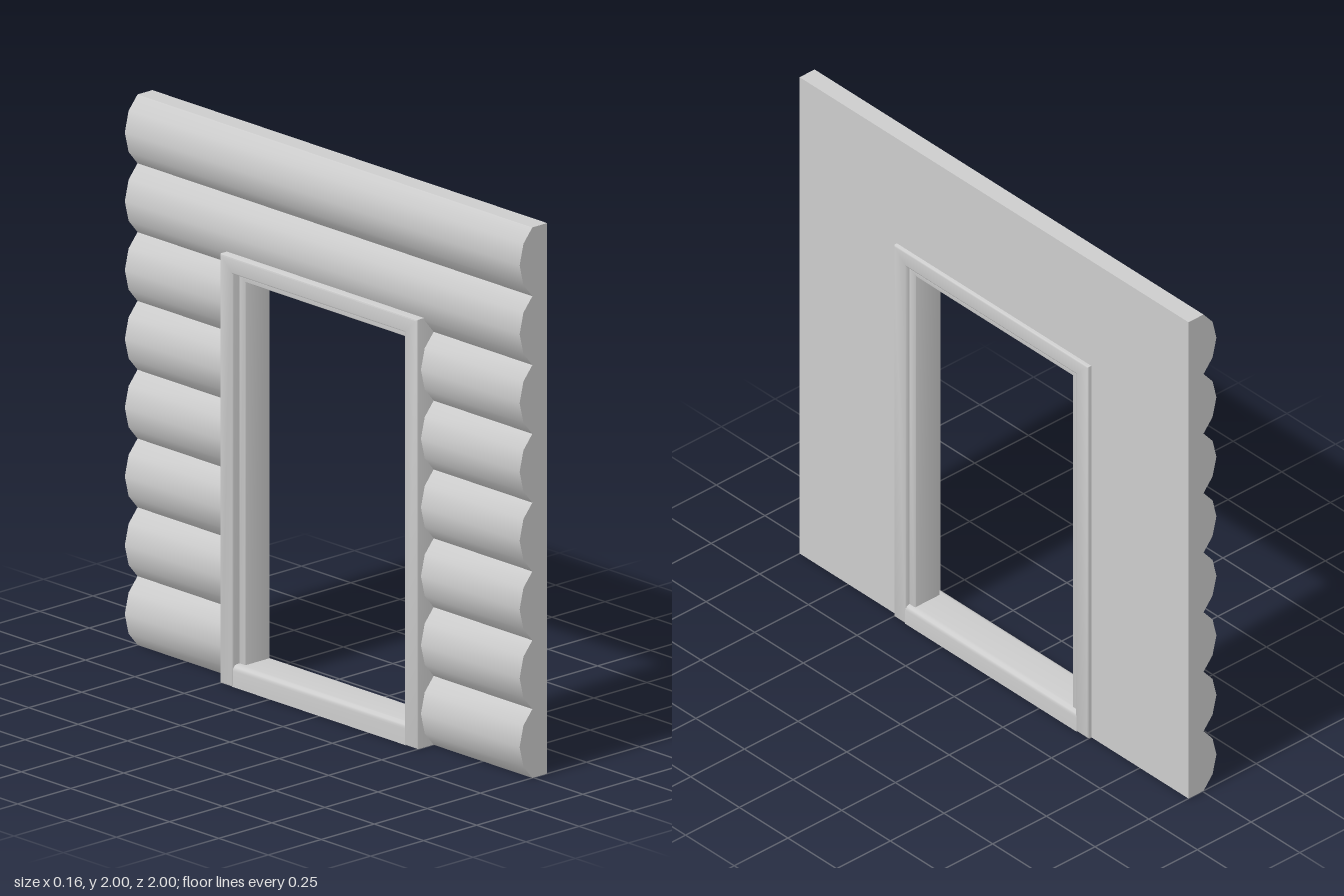
import * as THREE from 'three';
import { toCreasedNormals } from 'three/addons/utils/BufferGeometryUtils.js';

const grey = new THREE.MeshStandardMaterial({ color: 0xcccccc });
grey.name = 'grey';

function part(geometry, name) {
  const mesh = new THREE.Mesh(toCreasedNormals(geometry, 0.8), grey);
  mesh.name = name;
  return mesh;
}

// Wall panel: flat on +x, stacked half logs on -x, extruded along z
function logWall(first, last, z0, z1, name) {
  const pitch = 0.25, flat = 0.065;
  const profile = [[-0.005, 0], [-0.047, 0.05], [-0.065, 0.125], [-0.047, 0.2]];
  const shape = new THREE.Shape();
  shape.moveTo(flat, first * pitch);
  shape.lineTo(flat, last * pitch);
  shape.lineTo(-0.005, last * pitch);
  for (let i = last - 1; i >= first; i--) {
    for (const [x, y] of [...profile].reverse()) shape.lineTo(x, i * pitch + y);
  }
  const geo = new THREE.ExtrudeGeometry(shape, { depth: z1 - z0, bevelEnabled: false });
  geo.translate(0, 0, z0);
  return part(geo, name);
}

// Door surround: an upside-down U in the z-y plane, extruded from x0 to x1
function surround(outer, top, inner, innerTop, x0, x1, bevel, name) {
  const shape = new THREE.Shape();
  [[-outer, 0], [-inner, 0], [-inner, innerTop], [inner, innerTop],
    [inner, 0], [outer, 0], [outer, top], [-outer, top]]
    .forEach(([z, y], i) => (i ? shape.lineTo(z, y) : shape.moveTo(z, y)));
  const geo = new THREE.ExtrudeGeometry(shape, {
    depth: x1 - x0 - 2 * bevel, bevelEnabled: true, bevelThickness: bevel,
    bevelSize: bevel, bevelOffset: -bevel, bevelSegments: 2,
  });
  geo.rotateY(Math.PI / 2);
  geo.translate(x0 + bevel, 0, 0);
  return part(geo, name);
}

// Threshold: hollow channel with rounded top edges, open underneath
function threshold() {
  const s = new THREE.Shape();
  const w = 0.08, h = 0.08, r = 0.022, t = 0.008;
  s.moveTo(w, 0);
  s.lineTo(w, h - r);
  s.quadraticCurveTo(w, h, w - r, h);
  s.lineTo(r - w, h);
  s.quadraticCurveTo(-w, h, -w, h - r);
  s.lineTo(-w, 0);
  s.lineTo(t - w, 0);
  s.lineTo(t - w, h - r);
  s.lineTo(r - w, h - t);
  s.lineTo(w - r, h - t);
  s.lineTo(w - t, h - r);
  s.lineTo(w - t, 0);
  const geo = new THREE.ExtrudeGeometry(s, { depth: 0.88, bevelEnabled: false, curveSegments: 5 });
  geo.translate(0, 0, -0.44);
  return part(geo, 'threshold');
}

export function createModel() {
  const model = new THREE.Group();
  model.name = 'logWallWithDoorway';

  // Two full-length logs above the doorway, six cut logs on each side
  model.add(
    logWall(6, 8, -1, 1, 'upperWall'),
    logWall(0, 6, 0.46, 1, 'frontWall'),
    logWall(0, 6, -1, -0.46, 'backWall'),
  );

  // Casing, recessed inner jamb and threshold
  model.add(
    surround(0.5, 1.56, 0.435, 1.5, -0.083, 0.08, 0.006, 'doorCasing'),
    surround(0.445, 1.51, 0.405, 1.47, -0.05, 0.065, 0.003, 'doorJamb'),
    threshold(),
  );
  return model;
}
